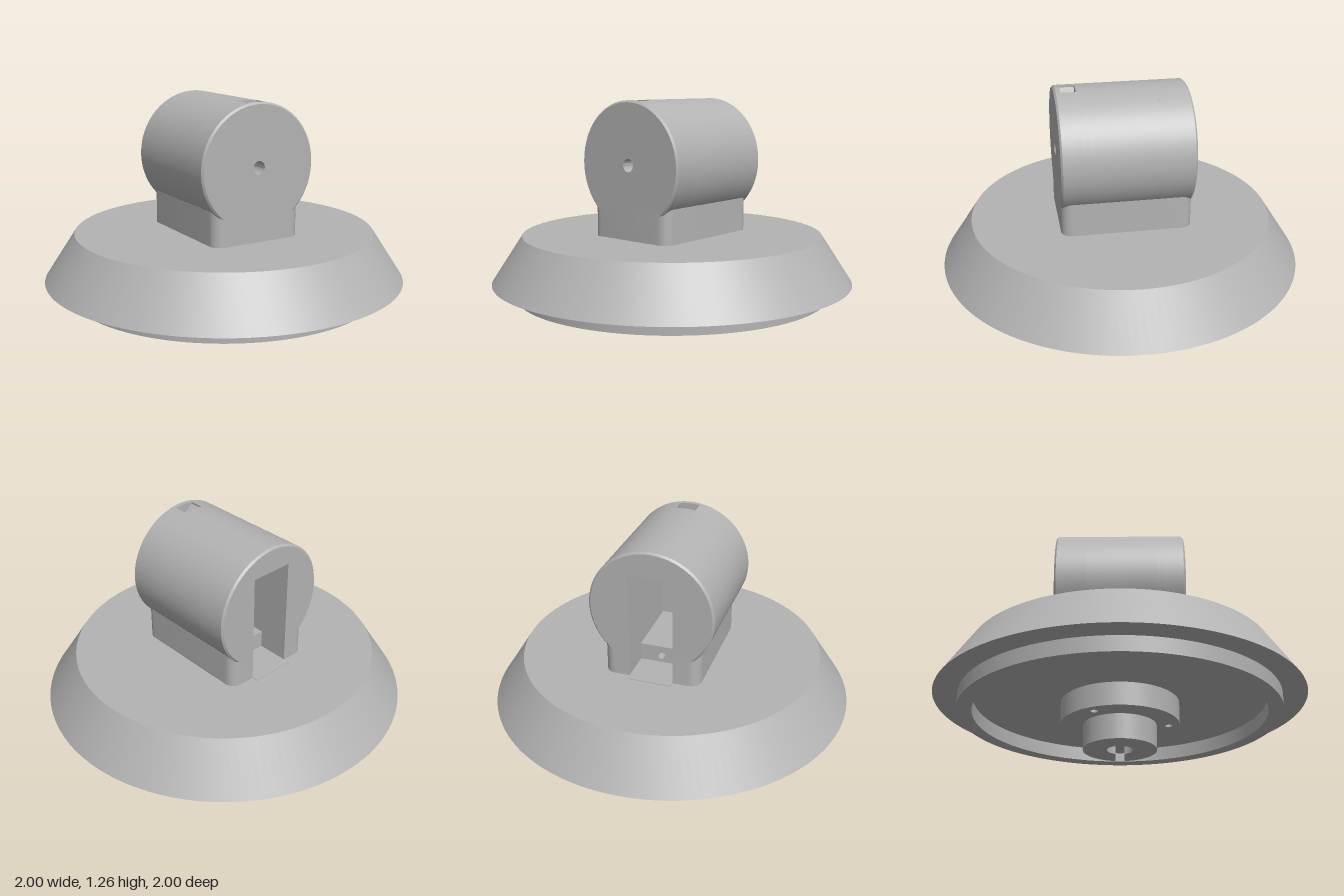
import * as THREE from 'three';
import { toCreasedNormals } from 'three/addons/utils/BufferGeometryUtils.js';

const R = 0.34, AXIS_Y = 0.92, SLOT = 0.12;

export function createModel() {
  const model = new THREE.Group();
  const grey = new THREE.MeshStandardMaterial({ color: 0xb3b3b3 });
  grey.name = 'plainGrey';

  const add = (name, geometry, parent = model) => {
    const mesh = new THREE.Mesh(toCreasedNormals(geometry, 0.4), grey);
    mesh.name = name;
    parent.add(mesh);
    return mesh;
  };
  const extrude = (shape, depth) =>
    new THREE.ExtrudeGeometry(shape, { depth, bevelEnabled: false, curveSegments: 64 });
  // plan shapes use (x, -z) and rise from y0 to y1
  const rise = (shape, y0, y1) => extrude(shape, y1 - y0).rotateX(-Math.PI / 2).translate(0, y0, 0);
  const circle = (r, x = 0, y = 0) => {
    const s = new THREE.Shape();
    s.absarc(x, y, r, 0, Math.PI * 2, false);
    return s;
  };
  const polygon = (pts) => new THREE.Shape(pts.map(([x, y]) => new THREE.Vector2(x, y)));

  // flared base with a recessed underside
  const profile = [[0, 0.26], [0.79, 0.26], [0.79, 0.18], [0.87, 0.18], [0.87, 0.26],
    [1, 0.26], [0.83, 0.52], [0, 0.52]].map(([x, y]) => new THREE.Vector2(x, y));
  add('base', new THREE.LatheGeometry(profile, 128));

  // hub under the base, with three screw holes
  const hub = circle(0.32);
  hub.holes.push(circle(0.07));
  for (let i = 0; i < 3; i++) {
    const a = Math.PI / 6 + (i * Math.PI * 2) / 3;
    hub.holes.push(circle(0.02, 0.262 * Math.cos(a), 0.262 * Math.sin(a)));
  }
  add('hub', rise(hub, 0.135, 0.26));

  // hollow stem, its lower end cut by a keyway on the left
  const stem = circle(0.197);
  stem.holes.push(circle(0.07));
  add('stem', rise(stem, 0.045, 0.135));
  const k = 0.024, ao = Math.asin(k / 0.197), ai = Math.asin(k / 0.07);
  const keyed = new THREE.Shape();
  keyed.absarc(0, 0, 0.197, ao, Math.PI * 2 - ao, false);
  keyed.absarc(0, 0, 0.07, Math.PI * 2 - ai, ai, true);
  keyed.closePath();
  add('stemKeyway', rise(keyed, 0, 0.045));

  // pedestal with rounded corners, open at the back
  const w = 0.265, d = 0.355, c = 0.06;
  const plan = new THREE.Shape();
  plan.moveTo(SLOT, d);
  plan.lineTo(SLOT, -0.2);
  plan.lineTo(-SLOT, -0.2);
  plan.lineTo(-SLOT, d);
  plan.lineTo(-w + c, d);
  plan.absarc(-w + c, d - c, c, Math.PI / 2, Math.PI, false);
  plan.absarc(-w + c, -d + c, c, Math.PI, Math.PI * 1.5, false);
  plan.absarc(w - c, -d + c, c, Math.PI * 1.5, Math.PI * 2, false);
  plan.absarc(w - c, d - c, c, 0, Math.PI / 2, false);
  plan.closePath();
  add('pedestal', rise(plan, 0.52, 0.706));

  // block on the cavity floor with a cable hole, and the floor lip
  const block = polygon([[-SLOT, 0.52], [SLOT, 0.52], [SLOT, 0.62], [-SLOT, 0.62]]);
  block.holes.push(circle(0.022, 0, 0.565));
  add('cavityBlock', extrude(block, 0.38).translate(0, 0, -0.18));
  add('cavityFloor', new THREE.BoxGeometry(SLOT * 2, 0.004, 0.21).translate(0, 0.521, -0.285));

  // head cross-sections, centred on its axis
  const slotted = () => {
    const a = Math.acos(SLOT / R), s = new THREE.Shape();
    s.absarc(0, 0, R, -a, Math.PI + a, false);
    s.lineTo(-SLOT, 0.205);
    s.lineTo(SLOT, 0.205);
    s.closePath();
    return s;
  };
  const windowed = () => {
    const s = circle(R);
    s.holes.push(polygon([[-SLOT, -0.3], [SLOT, -0.3], [SLOT, 0.1], [-SLOT, 0.1]]));
    return s;
  };
  const bored = (s = circle(R)) => {
    s.holes.push(circle(0.035));
    return s;
  };
  const notched = () => {
    const a = Math.acos(0.055 / R), s = new THREE.Shape();
    s.absarc(0, 0, R, Math.PI - a, Math.PI * 2 + a, false);
    s.lineTo(0.055, 0.28);
    s.lineTo(0, 0.28);
    s.lineTo(-0.055, 0.325);
    s.closePath();
    return bored(s);
  };

  // head built from slices along z; end slices taper into a chamfer
  const head = new THREE.Group();
  head.name = 'head';
  head.position.y = AXIS_Y;
  model.add(head);
  const slice = (name, shape, z0, z1, taperZ) => {
    const g = extrude(shape, z1 - z0).translate(0, 0, z0);
    const p = g.attributes.position;
    for (let i = 0; i < p.count && taperZ !== undefined; i++) {
      const x = p.getX(i), y = p.getY(i);
      if (Math.abs(p.getZ(i) - taperZ) < 1e-4 && Math.hypot(x, y) > 0.335) {
        const onSlot = y < 0 && Math.abs(Math.abs(x) - SLOT) < 1e-3 && taperZ < 0;
        p.setXY(i, onSlot ? x : x * 0.97, y * 0.97);
      }
    }
    add(name, g, head);
  };
  slice('backChamfer', slotted(), -0.355, -0.345, -0.355);
  slice('slottedBarrel', slotted(), -0.345, -0.18);
  slice('hollowBarrel', windowed(), -0.18, 0.2);
  slice('innerWall', bored(), 0.2, 0.24);
  slice('notchedBarrel', notched(), 0.24, 0.32);
  slice('frontBarrel', bored(), 0.32, 0.345);
  slice('frontChamfer', bored(), 0.345, 0.355, 0.355);

  return model;
}
